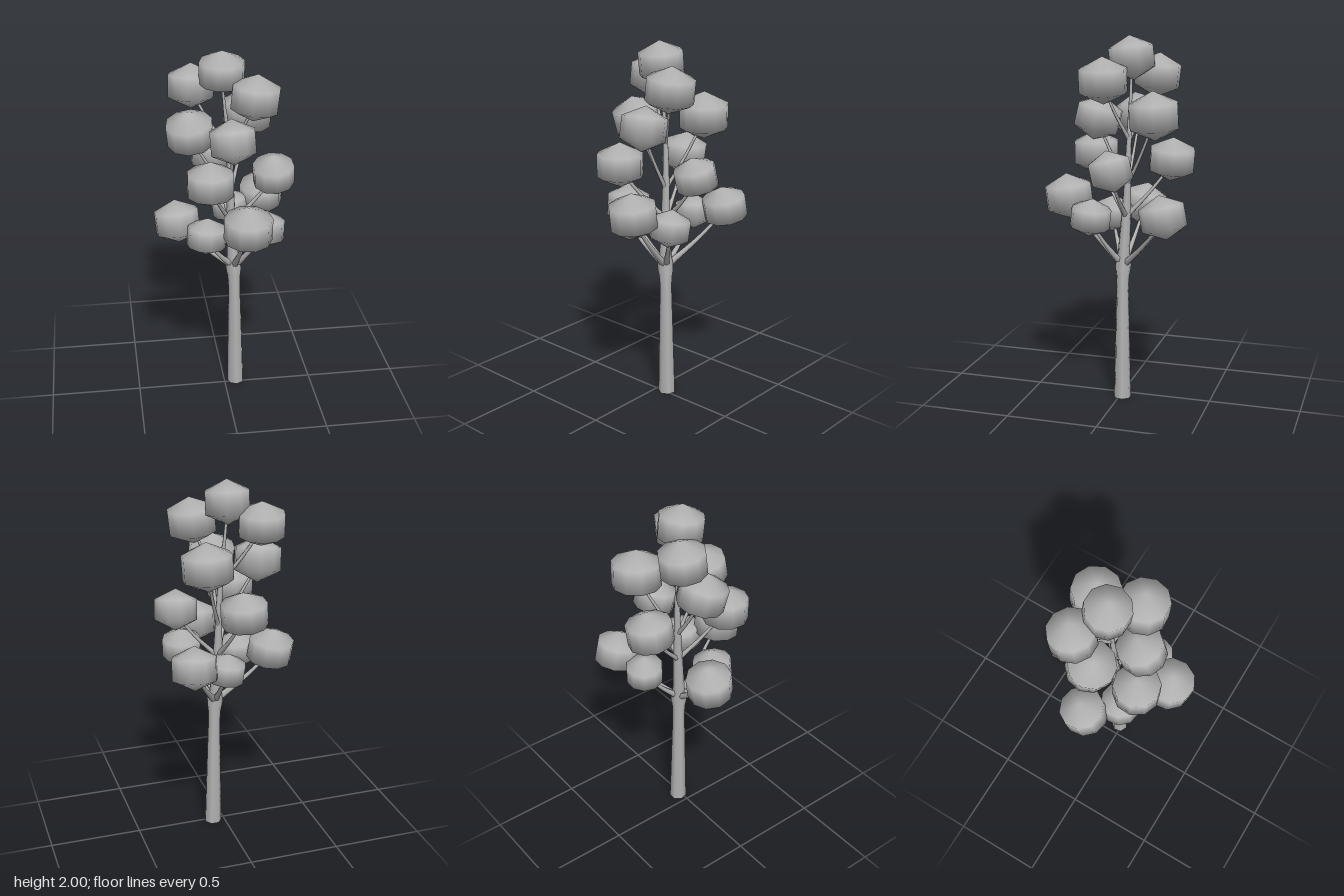
import * as THREE from 'three';

const gray = new THREE.MeshStandardMaterial({ color: 0xb4b4b4 });
gray.name = 'plain gray';

// Leaf clumps: x, y, z, radius, height at which the branch leaves the trunk
const clumps = [
  [-0.01, 1.88, -0.045, 0.122, 1.55],
  [-0.16, 1.78, -0.15, 0.125, 1.45],
  [0.15, 1.77, 0.065, 0.13, 1.45],
  [-0.18, 1.56, -0.04, 0.128, 1.2],
  [0.025, 1.56, 0.13, 0.125, 1.2],
  [0.15, 1.595, -0.21, 0.135, 1.2],
  [-0.10, 1.355, 0.18, 0.127, 1.03],
  [-0.03, 1.345, -0.265, 0.125, 1.03],
  [0.265, 1.315, -0.01, 0.115, 1.03],
  [-0.257, 1.045, -0.05, 0.125, 0.76],
  [-0.11, 1.01, 0.09, 0.108, 0.76],
  [0.085, 1.135, 0.28, 0.13, 0.76],
  [0.20, 1.05, 0.12, 0.108, 0.76],
  [0.245, 1.085, -0.285, 0.122, 0.76],
  [0.06, 1.03, -0.24, 0.102, 0.76],
];

// Trunk centre line
const trunkPoints = [
  [0.066, 0, -0.016], [0.055, 0.7, -0.015], [0.05, 0.8, -0.018],
  [0.04, 1.05, -0.03], [0.03, 1.4, -0.04], [0.01, 1.65, -0.045],
].map(p => new THREE.Vector3(...p));

function trunkAt(y) {
  let i = 0;
  while (i < trunkPoints.length - 2 && trunkPoints[i + 1].y < y) i++;
  const a = trunkPoints[i], b = trunkPoints[i + 1];
  return a.clone().lerp(b, (y - a.y) / (b.y - a.y));
}

// Tube whose radius follows a function of the fraction along the path
function limb(name, points, steps, sides, radiusAt) {
  const curve = new THREE.CatmullRomCurve3(points);
  const geo = new THREE.TubeGeometry(curve, steps, 1, sides);
  const pos = geo.attributes.position, v = new THREE.Vector3();
  for (let i = 0; i < pos.count; i++) {
    const t = Math.floor(i / (sides + 1)) / steps;
    const c = curve.getPointAt(t);
    v.fromBufferAttribute(pos, i).sub(c).multiplyScalar(radiusAt(t)).add(c);
    pos.setXYZ(i, v.x, v.y, v.z);
  }
  const mesh = new THREE.Mesh(geo, gray);
  mesh.name = name;
  return mesh;
}

export function createModel() {
  const tree = new THREE.Group();
  tree.name = 'tree';

  // Trunk: gentle taper, a swelling at the first fork, then a thin leader
  const profile = [[0, 0.049], [0.39, 0.034], [0.43, 0.038], [0.465, 0.05],
    [0.5, 0.034], [0.63, 0.027], [0.7, 0.022], [0.85, 0.015], [1, 0.01]];
  const trunkRadius = t => {
    let i = 0;
    while (i < profile.length - 2 && profile[i + 1][0] < t) i++;
    const [t0, r0] = profile[i], [t1, r1] = profile[i + 1];
    return THREE.MathUtils.lerp(r0, r1, (t - t0) / (t1 - t0));
  };
  tree.add(limb('trunk', trunkPoints, 40, 7, trunkRadius));

  const base = new THREE.Mesh(new THREE.CircleGeometry(0.047, 14), gray);
  base.name = 'trunkBase';
  base.rotation.x = Math.PI / 2;
  base.position.set(0.066, 0.001, -0.016);
  tree.add(base);

  // Faceted, smooth-shaded clump with two rings of corners
  const clumpGeometry = new THREE.SphereGeometry(1, 10, 3);

  clumps.forEach(([x, y, z, r, forkY], i) => {
    const leaf = new THREE.Mesh(clumpGeometry, gray);
    leaf.name = 'leafClump' + (i + 1);
    leaf.position.set(x, y, z);
    leaf.scale.set(r * 1.13, r * 0.97, r * 1.13);
    leaf.rotation.set(0.14 * Math.sin(i * 2.4 + 1), i * 1.3, 0.14 * Math.sin(i * 3.7));
    tree.add(leaf);

    // Branch curving out and up into the clump
    const start = trunkAt(forkY), end = new THREE.Vector3(x, y - 0.03, z);
    const middle = start.clone().lerp(end, 0.5);
    middle.y -= 0.012;
    const thick = forkY < 1 ? 0.025 : forkY < 1.1 ? 0.018 : 0.013;
    tree.add(limb('branch' + (i + 1), [start, middle, end], 8, 6,
      t => THREE.MathUtils.lerp(thick, 0.007, Math.sqrt(t))));
  });

  return tree;
}
